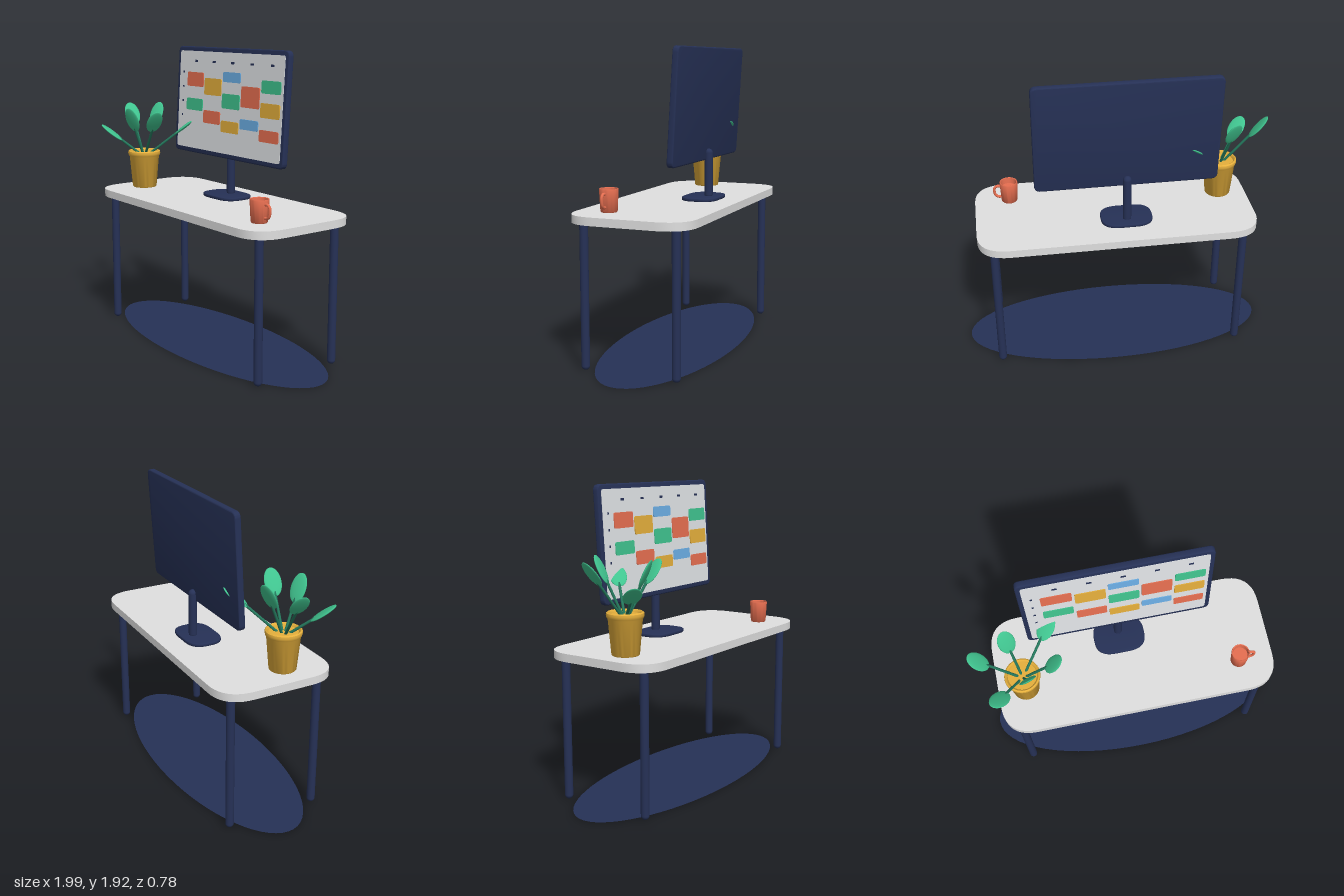
import * as THREE from 'three';
import { toCreasedNormals } from 'three/addons/utils/BufferGeometryUtils.js';

const paint = (name, color, side = THREE.FrontSide) => {
  const m = new THREE.MeshStandardMaterial({ color, side });
  m.name = name;
  return m;
};

export function createModel() {
  const navy = paint('navy', 0x263156, THREE.DoubleSide);
  const white = paint('tabletop grey', 0xdfdfdf);
  const screenGrey = paint('screen grey', 0xe2e5e8);
  const red = paint('terracotta', 0xe76f51);
  const gold = paint('mustard', 0xe5af3c);
  const green = paint('leaf green', 0x40c48f);
  const blue = paint('blue', 0x6cafe6);
  const stemGreen = paint('stem green', 0x24775c);

  const model = new THREE.Group();
  model.name = 'deskWithMonitor';

  const add = (parent, name, geometry, material, x = 0, y = 0, z = 0) => {
    const mesh = new THREE.Mesh(geometry, material);
    mesh.name = name;
    mesh.position.set(x, y, z);
    parent.add(mesh);
    return mesh;
  };

  // Rounded rectangle centred on the origin, with corner reach rx by ry
  const roundRect = (w, h, rx, ry = rx) => {
    const a = w / 2, b = h / 2, s = new THREE.Shape();
    s.moveTo(-a + rx, -b);
    s.lineTo(a - rx, -b);
    s.quadraticCurveTo(a, -b, a, -b + ry);
    s.lineTo(a, b - ry);
    s.quadraticCurveTo(a, b, a - rx, b);
    s.lineTo(-a + rx, b);
    s.quadraticCurveTo(-a, b, -a, b - ry);
    s.lineTo(-a, -b + ry);
    s.quadraticCurveTo(-a, -b, -a + rx, -b);
    return s;
  };
  const slab = (shape, depth, bevel = 0) => {
    const g = new THREE.ExtrudeGeometry(shape, {
      depth: depth - 2 * bevel, curveSegments: 10, bevelEnabled: bevel > 0,
      bevelThickness: bevel, bevelSize: bevel, bevelOffset: -bevel, bevelSegments: 3,
    });
    g.translate(0, 0, bevel);
    return toCreasedNormals(g, 0.6);
  };

  // Floor rug
  const rug = add(model, 'rug', new THREE.CircleGeometry(1, 64), navy);
  rug.rotation.x = -Math.PI / 2;
  rug.scale.set(0.995, 0.385, 1);

  // Table
  const table = new THREE.Group();
  table.name = 'table';
  model.add(table);
  add(table, 'tabletop', slab(roundRect(1.78, 0.78, 0.2, 0.2), 0.05).rotateX(-Math.PI / 2), white, 0, 0.895, 0);
  const legGeometry = new THREE.CapsuleGeometry(0.026, 0.85, 6, 20);
  for (const x of [-0.79, 0.79])
    for (const z of [-0.293, 0.293]) add(table, 'tableLeg', legGeometry, navy, x, 0.456, z);

  // Monitor stand
  add(model, 'standBase', slab(roundRect(0.33, 0.235, 0.12, 0.1), 0.022, 0.006).rotateX(-Math.PI / 2),
    navy, -0.06, 0.944, -0.128);
  add(model, 'standPole', new THREE.CapsuleGeometry(0.027, 0.27, 6, 20), navy, -0.06, 1.109, -0.162);

  // Monitor, tilted back a little
  const monitor = new THREE.Group();
  monitor.name = 'monitor';
  monitor.position.set(-0.06, 1.557, -0.152);
  monitor.rotation.x = -0.06;
  model.add(monitor);
  add(monitor, 'monitorCase', slab(roundRect(1.15, 0.717, 0.04), 0.04, 0.007), navy, 0, 0, -0.02);
  add(monitor, 'screen', slab(roundRect(1.094, 0.656, 0.02), 0.004), screenGrey, 0, 0, 0.0185);

  // Calendar cards: [column, bottom, top, colour] with heights in world units
  const cards = [
    [0, 1.648, 1.743, red], [0, 1.487, 1.567, green],
    [1, 1.6, 1.711, gold], [1, 1.412, 1.497, red],
    [2, 1.695, 1.76, blue], [2, 1.524, 1.62, green], [2, 1.369, 1.444, gold],
    [3, 1.546, 1.679, red], [3, 1.406, 1.471, blue],
    [4, 1.647, 1.727, green], [4, 1.497, 1.588, gold], [4, 1.348, 1.422, red],
  ];
  for (const [column, bottom, top, colour] of cards) {
    add(monitor, 'calendarCard', slab(roundRect(0.183, top - bottom, 0.014), 0.006), colour,
      -0.357 + column * 0.198, (bottom + top) / 2 - 1.557, 0.0215);
  }
  // Plain marks for column and row heads
  for (let i = 0; i < 5; i++)
    add(monitor, 'columnMark', new THREE.BoxGeometry(0.03, 0.014, 0.003), navy, -0.357 + i * 0.198, 0.262, 0.0235);
  for (let i = 0; i < 4; i++)
    add(monitor, 'rowMark', new THREE.BoxGeometry(0.013, 0.013, 0.003), navy, -0.498, 0.184 - i * 0.098, 0.0235);

  // Plant pot
  const plant = new THREE.Group();
  plant.name = 'plant';
  plant.position.set(-0.71, 0.945, 0.1);
  model.add(plant);
  const lathe = (points) => toCreasedNormals(
    new THREE.LatheGeometry(points.map(([r, y]) => new THREE.Vector2(r, y)), 40), 0.7);
  add(plant, 'pot', lathe([
    [0, 0], [0.078, 0], [0.083, 0.006], [0.102, 0.215], [0.108, 0.222], [0.112, 0.238],
    [0.11, 0.25], [0.102, 0.256], [0.094, 0.25], [0.09, 0.238], [0, 0.238],
  ]), gold);

  // Leaves: blade centres relative to the foot of the pot
  const leafCentres = [
    [-0.045, 0.495, -0.135], [0.2, 0.425, -0.21], [0.205, 0.47, 0.045],
    [0.04, 0.475, 0.117], [-0.148, 0.375, 0.168], [-0.228, 0.49, -0.05],
  ];
  const bladeGeometry = new THREE.SphereGeometry(1, 28, 18);
  for (const c of leafCentres) {
    const centre = new THREE.Vector3(...c);
    const root = new THREE.Vector3(c[0] * 0.08, 0.22, c[2] * 0.08);
    const along = centre.clone().sub(root).normalize();
    const across = new THREE.Vector3(0, 1, 0).cross(along).normalize();
    const normal = across.clone().cross(along);
    const leaf = add(plant, 'leaf', bladeGeometry, green, ...c);
    leaf.quaternion.setFromRotationMatrix(new THREE.Matrix4().makeBasis(across, along, normal));
    leaf.scale.set(0.054, 0.09, 0.011);
    const path = new THREE.LineCurve3(root, centre);
    add(plant, 'stem', new THREE.TubeGeometry(path, 1, 0.0085, 10), stemGreen);
  }

  // Mug with handle on its left
  const mug = new THREE.Group();
  mug.name = 'mug';
  mug.position.set(0.665, 0.945, 0.19);
  model.add(mug);
  add(mug, 'mugBody', lathe([
    [0, 0], [0.046, 0], [0.051, 0.006], [0.058, 0.134], [0.056, 0.14],
    [0.051, 0.138], [0.048, 0.1], [0, 0.1],
  ]), red);
  const handlePath = new THREE.CatmullRomCurve3([
    [0.05, 0.112], [0.077, 0.112], [0.092, 0.098], [0.094, 0.072], [0.086, 0.046], [0.07, 0.034], [0.048, 0.032],
  ].map(([x, y]) => new THREE.Vector3(x, y, 0)));
  add(mug, 'mugHandle', new THREE.TubeGeometry(handlePath, 32, 0.009, 12), red);

  return model;
}
